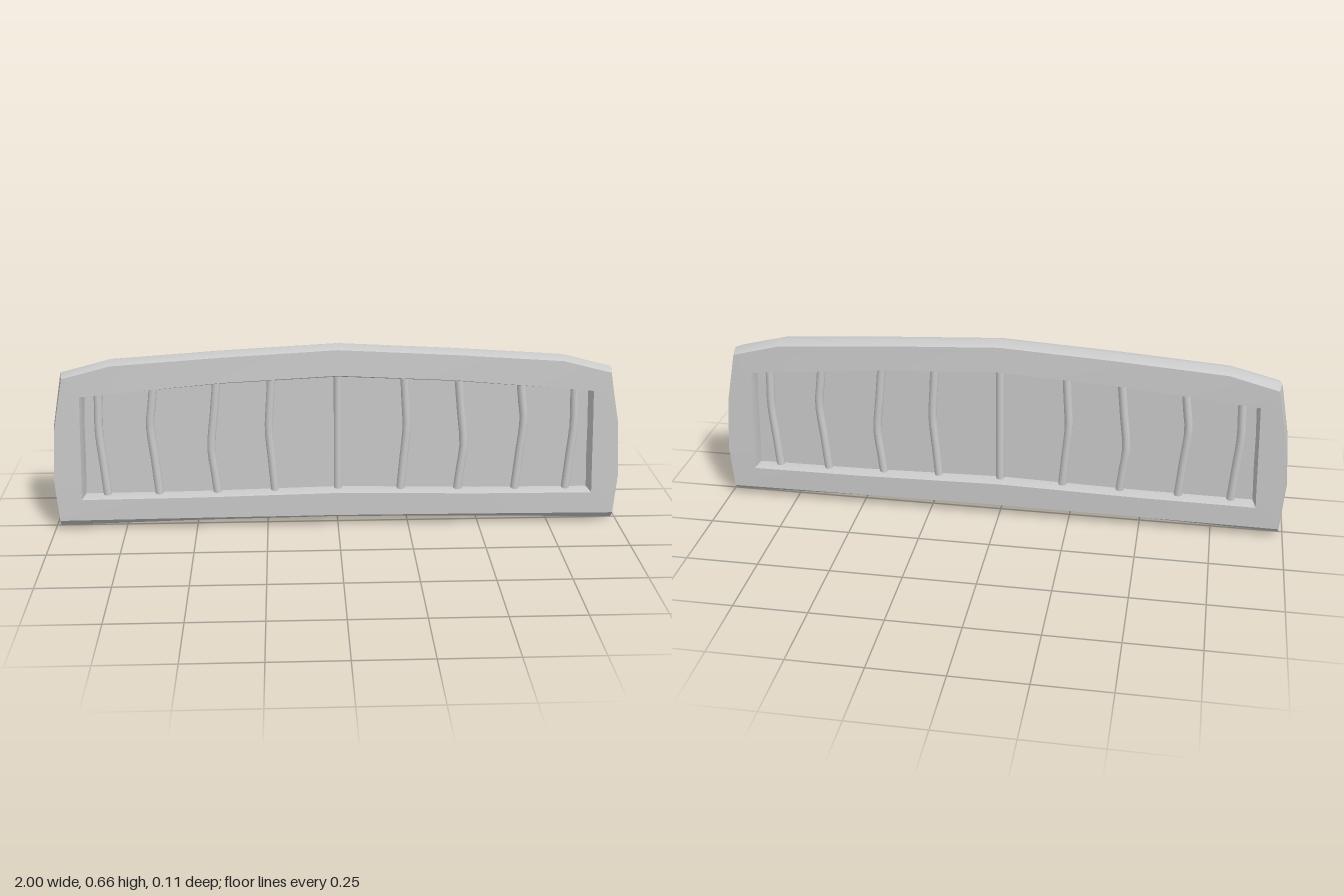
import * as THREE from 'three';
import { toCreasedNormals } from 'three/addons/utils/BufferGeometryUtils.js';

// Half outlines, from top centre round the +x side to bottom centre
const RIDGE = [[0, 0.663], [0.4, 0.64], [0.78, 0.615], [0.95, 0.57], [0.985, 0.38], [1, 0.19], [0.987, 0], [0.5, 0.012], [0, 0.018]];
const FACE = [[0, 0.651], [0.4, 0.629], [0.775, 0.603], [0.942, 0.56], [0.977, 0.38], [0.991, 0.19], [0.98, 0.038], [0.5, 0.042], [0, 0.045]];
const HOLE = [[0, 0.561], [0.4, 0.54], [0.75, 0.508], [0.885, 0.495], [0.89, 0.37], [0.894, 0.25], [0.899, 0.117], [0.5, 0.12], [0, 0.13]];
const FLOOR = [[0, 0.546], [0.4, 0.526], [0.75, 0.496], [0.873, 0.485], [0.879, 0.37], [0.882, 0.25], [0.888, 0.125], [0.5, 0.127], [0, 0.138]];
const PANEL_Z = 0.009;

// Full closed loop from a half outline
const mirrored = (half) => [...half, ...half.slice(1, -1).reverse().map(([x, y]) => [-x, y])];

// Half thickness of the frame: thickest low down, thinner at the top
function faceZ(x, y) {
  const z = y < 0.12
    ? 0.052 + 0.002 * (y / 0.12)
    : y < 0.56 ? 0.054 - 0.006 * ((y - 0.12) / 0.44) : 0.048 - 0.005 * ((y - 0.56) / 0.09);
  return z - 0.002 * Math.abs(x);
}

// Frame skin: rings run from the front recess, over the outer ridge, to the back recess
function frameGeometry() {
  const ring = (half, depth) => mirrored(half).map(([x, y]) => [x, y, depth(x, y)]);
  const back = (x, y) => -faceZ(x, y);
  const rings = [
    ring(FLOOR, () => PANEL_Z), ring(HOLE, faceZ), ring(FACE, faceZ),
    ring(RIDGE, () => 0),
    ring(FACE, back), ring(HOLE, back), ring(FLOOR, () => -PANEL_Z),
  ];
  const n = rings[0].length;
  const positions = [];
  for (let s = 0; s < rings.length - 1; s++) {
    for (let k = 0; k < n; k++) {
      const j = (k + 1) % n;
      const a = rings[s][k], b = rings[s][j], c = rings[s + 1][j], d = rings[s + 1][k];
      positions.push(...a, ...b, ...c, ...a, ...c, ...d);
    }
  }
  const geometry = new THREE.BufferGeometry();
  geometry.setAttribute('position', new THREE.Float32BufferAttribute(positions, 3));
  return toCreasedNormals(geometry, 0.75);
}

// Thin panel closing the opening
function panelGeometry() {
  const shape = new THREE.Shape(mirrored(FLOOR).map(([x, y]) => new THREE.Vector2(x, y)));
  const geometry = new THREE.ExtrudeGeometry(shape, { depth: 2 * PANEL_Z, bevelEnabled: false });
  return geometry.translate(0, 0, -PANEL_Z);
}

// Rib x positions at top, bend and bottom, with the height of the bend
const RIBS = [
  { top: 0, mid: 0, low: 0, bend: 0.3 },
  { top: 0.23, mid: 0.241, low: 0.222, bend: 0.36 },
  { top: 0.418, mid: 0.443, low: 0.425, bend: 0.29 },
  { top: 0.635, mid: 0.652, low: 0.63, bend: 0.38 },
  { top: 0.825, mid: 0.83, low: 0.812, bend: 0.36 },
];

function ribGeometry({ top, mid, low, bend }, side, z) {
  const yTop = 0.552 - 0.07 * top * top;
  const points = [[low, 0.122], [(low + mid) / 2, (0.122 + bend) / 2], [mid, bend], [(mid + top) / 2, (bend + yTop) / 2], [top, yTop]];
  const curve = new THREE.CatmullRomCurve3(points.map(([x, y]) => new THREE.Vector3(x * side, y, z)));
  return new THREE.TubeGeometry(curve, 10, 0.015, 10);
}

export function createModel() {
  const group = new THREE.Group();
  const material = new THREE.MeshStandardMaterial({ color: 0xcccccc });
  const add = (name, geometry, parent = group) => {
    const mesh = new THREE.Mesh(geometry, material);
    mesh.name = name;
    parent.add(mesh);
  };

  add('frame', frameGeometry());
  add('panel', panelGeometry());

  // Ribs on both faces, mirrored left and right
  for (const [name, z] of [['frontRibs', 0.012], ['backRibs', -0.012]]) {
    const ribs = new THREE.Group();
    ribs.name = name;
    for (const rib of RIBS) {
      for (const side of rib.top === 0 ? [1] : [1, -1]) add('rib', ribGeometry(rib, side, z), ribs);
    }
    group.add(ribs);
  }
  return group;
}
